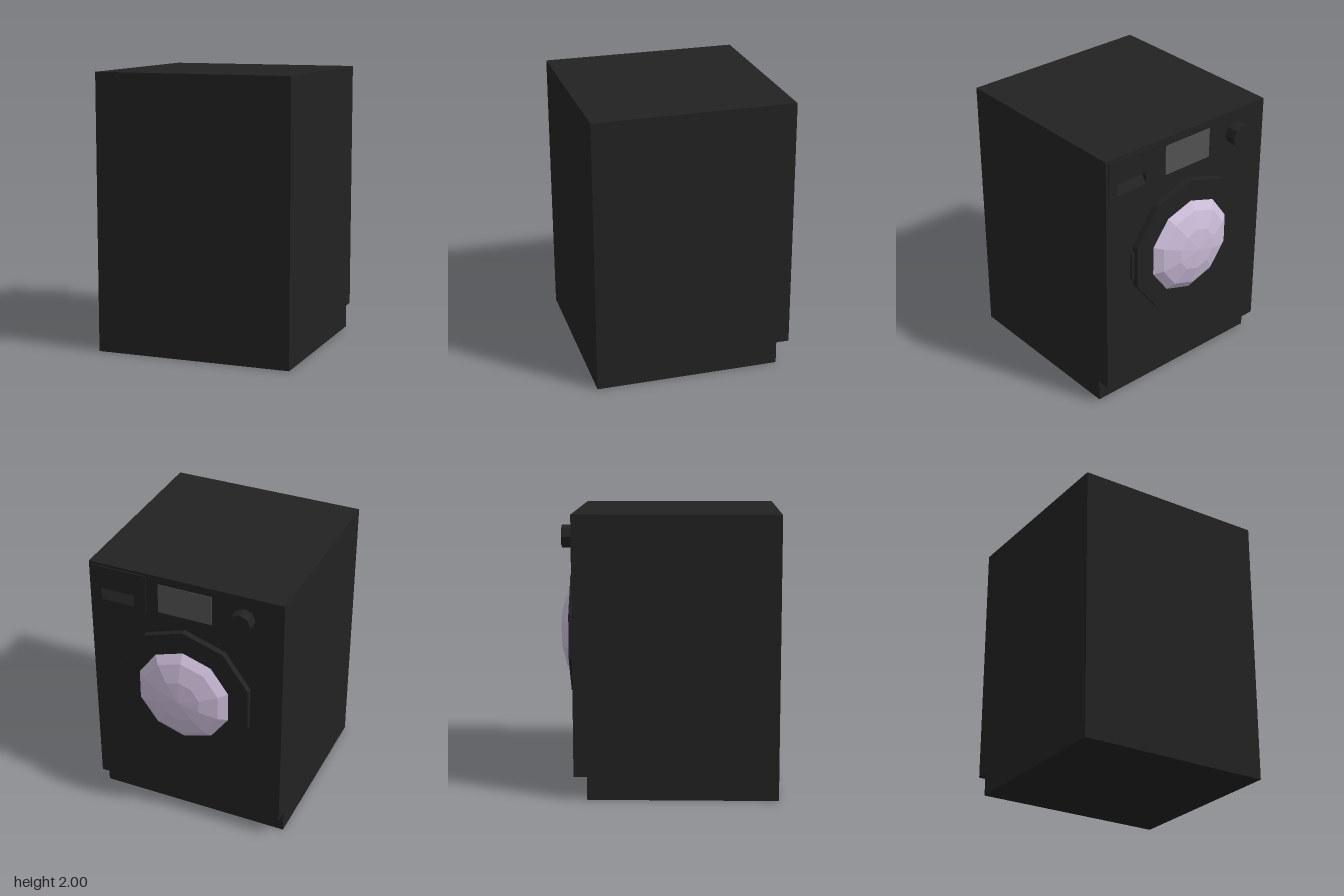
import * as THREE from 'three';

const FRONT = -0.65; // plane of the door side, which faces -z

function rect(x0, y0, x1, y1, C = THREE.Shape) {
  const s = new C();
  s.moveTo(x0, y0);
  s.lineTo(x1, y0);
  s.lineTo(x1, y1);
  s.lineTo(x0, y1);
  s.closePath();
  return s;
}

export function createModel() {
  const group = new THREE.Group();
  const material = (name, color) => {
    const m = new THREE.MeshStandardMaterial({ color, flatShading: true });
    m.name = name;
    return m;
  };
  const black = material('black casing', 0x222222);
  const grey = material('grey screen', 0x525252);
  const glass = material('pale lilac glass', 0xcbbcd8);

  const add = (name, geometry, mat) => {
    const mesh = new THREE.Mesh(geometry, mat);
    mesh.name = name;
    group.add(mesh);
    return mesh;
  };
  const box = (name, mat, x0, x1, y0, y1, z0, z1) =>
    add(name, new THREE.BoxGeometry(x1 - x0, y1 - y0, z1 - z0), mat)
      .position.set((x0 + x1) / 2, (y0 + y1) / 2, (z0 + z1) / 2);

  // slab with the drawer grip cut through it
  const slotted = (name, x0, x1, y0, y1, z0, z1) => {
    const shape = rect(x0, y0, x1, y1);
    shape.holes.push(rect(0.38, 1.72, 0.63, 1.81, THREE.Path));
    const g = new THREE.ExtrudeGeometry(shape, { depth: z1 - z0, bevelEnabled: false });
    add(name, g.translate(0, 0, z0), black);
  };

  // many-sided part turned to point out of the door side
  const facing = (name, geometry, mat, x, y, z) =>
    add(name, geometry.rotateX(-Math.PI / 2), mat).position.set(x, y, z);

  // casing and set-back plinth
  box('casing', black, -0.72, 0.72, 0.165, 2, -0.6, 0.79);
  slotted('frontPanel', -0.72, 0.72, 0.165, 2, FRONT, -0.6);
  box('plinth', black, -0.72, 0.72, 0, 0.165, -0.555, 0.79);

  // detergent drawer with a sloping grip recess
  slotted('drawerPanel', 0.29, 0.7, 1.7, 1.98, FRONT - 0.008, FRONT);
  const slope = new THREE.PlaneGeometry(0.25, Math.hypot(0.09, 0.055));
  slope.rotateY(Math.PI).rotateX(Math.atan2(0.055, 0.09));
  add('drawerGrip', slope, black).position.set(0.505, 1.765, -0.63);

  // display and dial
  box('display', grey, -0.2, 0.2, 1.72, 1.94, FRONT - 0.004, FRONT);
  facing('dial', new THREE.CylinderGeometry(0.08, 0.08, 0.087, 8), black, -0.435, 1.83, FRONT - 0.0435);

  // ten-sided door, its domed glass and the pull on its edge
  facing('doorFrame', new THREE.CylinderGeometry(0.51, 0.51, 0.046, 10), black, 0, 1.115, FRONT - 0.023);
  const dome = [[0.365, 0.04], [0.295, 0.09], [0.16, 0.128], [0, 0.14]]
    .map(([r, h]) => new THREE.Vector2(r, h));
  facing('doorGlass', new THREE.LatheGeometry(dome, 10), glass, 0, 1.105, FRONT);
  box('doorPull', black, 0.45, 0.51, 1.01, 1.22, FRONT - 0.018, FRONT);

  return group;
}
